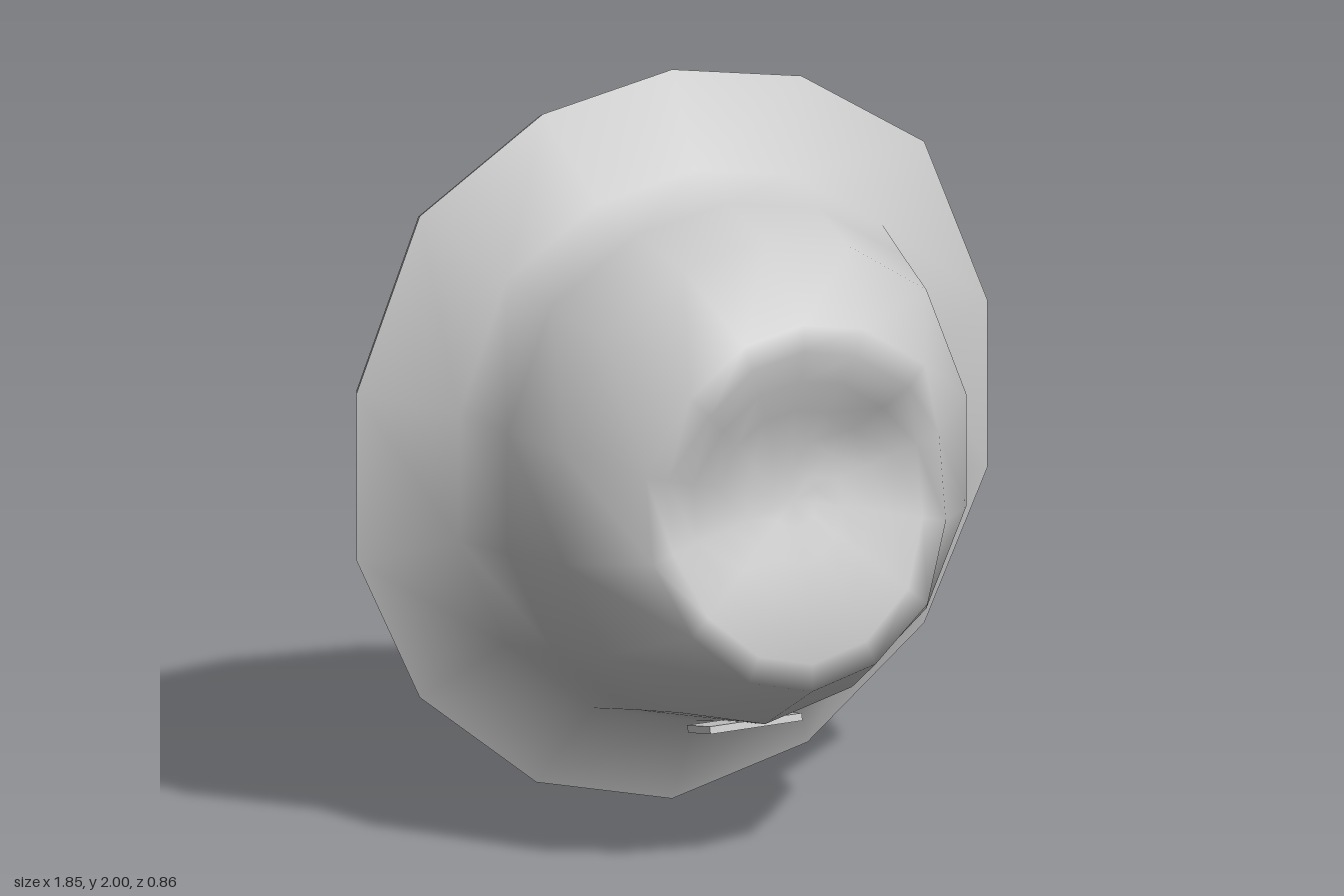
import * as THREE from 'three';
import { mergeVertices } from 'three/addons/utils/BufferGeometryUtils.js';

// Half of the 14-sided outline (x, y from top to bottom), mirrored below
const half = [[0, 1], [0.41, 0.93], [0.8, 0.7], [1, 0.24], [1, -0.22], [0.8, -0.62], [0.43, -0.9], [0, -1]];
const outline = [...half, ...half.slice(1, -1).reverse().map(([x, y]) => [-x, y])];

// A ring of points: depth z (number or rule of x, y), half width, top and bottom height
function ring(z, rx, top, bottom) {
  const mid = (top + bottom) / 2, ry = (top - bottom) / 2;
  return outline.map(([u, v]) => {
    const x = u * rx, y = mid + v * ry;
    return [x, y, typeof z === 'function' ? z(x, y) : z];
  });
}

// Smooth surface through successive rings
function loft(rings) {
  const n = outline.length, index = [];
  for (let i = 0; i < rings.length - 1; i++) {
    for (let j = 0; j < n; j++) {
      const a = i * n + j, b = i * n + (j + 1) % n;
      index.push(a, a + n, b, b, a + n, b + n);
    }
  }
  let geo = new THREE.BufferGeometry();
  geo.setAttribute('position', new THREE.Float32BufferAttribute(rings.flat(2), 3));
  geo.setIndex(index);
  geo = mergeVertices(geo, 1e-4);
  geo.computeVertexNormals();
  return geo;
}

function interpolate(table, t) {
  if (t <= table[0][0]) return table[0][1];
  for (let i = 1; i < table.length; i++) {
    const [t0, v0] = table[i - 1], [t1, v1] = table[i];
    if (t <= t1) return v0 + (v1 - v0) * (t - t0) / (t1 - t0);
  }
  return table[table.length - 1][1];
}

// Dented crown: depth by height along the middle and along the sides
const middle = [[0.52, 0.43], [0.65, 0.43], [0.8, 0.4], [1, 0.32], [1.13, 0.3], [1.25, 0.33], [1.38, 0.375], [1.51, 0.38]];
const sides = [[0.52, 0.43], [0.65, 0.43], [0.8, 0.395], [1, 0.315], [1.13, 0.31], [1.29, 0.42], [1.38, 0.395], [1.51, 0.38]];
function crownDepth(x, y) {
  const t = THREE.MathUtils.smoothstep(Math.abs(x), 0.08, 0.32);
  return THREE.MathUtils.lerp(interpolate(middle, y), interpolate(sides, y), t);
}

// The lining is flat at the front and gives way to the dent
const liningDepth = (x, y) => Math.min(0.345, crownDepth(x, y) - 0.03);

// Rings shrinking to the centre of the crown
const capRings = (z, rx, top, bottom) => [1, 0.85, 0.68, 0.5, 0.32, 0.15, 0].map((s) => {
  const mid = (top + bottom) / 2, ry = (top - bottom) / 2 * s;
  return ring(z, rx * s, mid + ry, mid - ry);
});

export function createModel() {
  const group = new THREE.Group();
  const material = new THREE.MeshStandardMaterial({ color: 0xcccccc, side: THREE.DoubleSide });
  const add = (name, geo) => {
    const mesh = new THREE.Mesh(geo, material);
    mesh.name = name;
    group.add(mesh);
    return mesh;
  };

  const edgeBack = ring(-0.43, 0.905, 1.98, 0.02);
  const edgeFront = ring(-0.39, 0.925, 2, 0);
  const liningBase = ring(-0.26, 0.655, 1.71, 0.29);

  // Outer brim and crown in one smooth surface
  add('brimAndCrown', loft([
    edgeFront,
    ring(-0.26, 0.69, 1.76, 0.25),
    ring(-0.07, 0.645, 1.72, 0.3),
    ring(0.155, 0.59, 1.68, 0.355),
    ...capRings(crownDepth, 0.43, 1.51, 0.52),
  ]));

  // Narrow outer edge of the brim
  add('brimEdge', loft([edgeBack, edgeFront]));

  // Brim underside, facing back
  add('brimUnderside', loft([liningBase, edgeBack]));

  // Inner lining, facing into the opening
  add('lining', loft([
    ...capRings(liningDepth, 0.4, 1.47, 0.56).reverse(),
    ring(0.14, 0.555, 1.64, 0.395),
    ring(-0.07, 0.61, 1.68, 0.34),
    liningBase,
  ]));

  // Small tag lying on the underside of the crown
  const tag = add('tag', new THREE.BoxGeometry(0.27, 0.02, 0.135));
  tag.position.set(0, 0.325, 0.035);
  tag.rotation.x = -0.24;

  return group;
}
